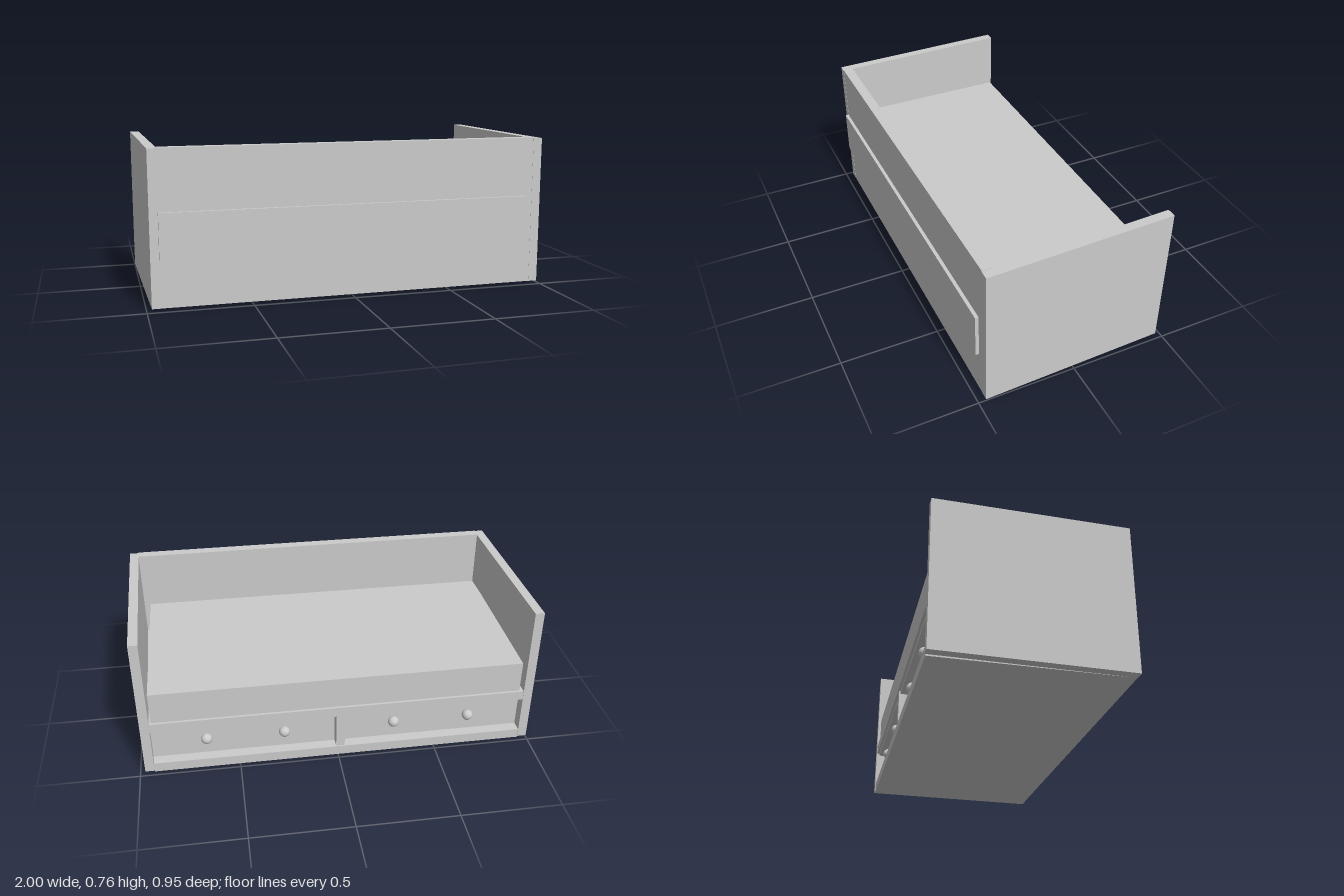
import * as THREE from 'three';

const material = new THREE.MeshStandardMaterial({ color: 0xcccccc });
const SKEW = 0.026; // the frame leans slightly sideways along its depth

export function createModel() {
  const group = new THREE.Group();

  // Box given by its limits on each axis, sheared in x along z
  function block(name, [x0, x1], [y0, y1], [z0, z1], skew = SKEW) {
    const geometry = new THREE.BoxGeometry(x1 - x0, y1 - y0, z1 - z0);
    geometry.translate((x0 + x1) / 2, (y0 + y1) / 2, (z0 + z1) / 2);
    const p = geometry.attributes.position;
    for (let i = 0; i < p.count; i++) p.setX(i, p.getX(i) + skew * p.getZ(i));
    geometry.computeVertexNormals();
    const mesh = new THREE.Mesh(geometry, material);
    mesh.name = name;
    group.add(mesh);
    return mesh;
  }

  // End panels and backrest
  block('rightEndPanel', [-0.988, -0.942], [0.008, 0.755], [-0.477, 0.462]);
  block('leftEndPanel', [0.942, 0.988], [0.008, 0.753], [-0.477, 0.462]);
  block('backrest', [-0.942, 0.942], [0.008, 0.757], [0.41, 0.461]);

  // Base board, tilted a touch, and the platform above the drawers
  const base = block('baseBoard', [-0.942, 0.942], [0.004, 0.055], [-0.474, 0.41]);
  base.rotation.x = -0.008;
  block('platform', [-0.942, 0.942], [0.245, 0.295], [-0.475, 0.41]);

  // Mattress, reaching through the backrest
  block('mattress', [-0.935, 0.92], [0.23, 0.46], [-0.462, 0.478], 0);

  // Drawers with two round knobs each, and the divider between them
  block('divider', [-0.022, 0.022], [0.05, 0.25], [-0.468, 0.41]);
  const knobGeometry = new THREE.SphereGeometry(0.028, 24, 16);
  for (const side of [-1, 1]) {
    const xs = [side * 0.022, side * 0.942].sort((a, b) => a - b);
    block(side < 0 ? 'rightDrawer' : 'leftDrawer', xs, [0.05, 0.245], [-0.42, 0.4]);
    for (const x of [0.28, 0.67]) {
      const knob = new THREE.Mesh(knobGeometry, material);
      knob.name = 'drawerKnob';
      knob.position.set(side * x - 0.011, 0.15, -0.437);
      group.add(knob);
    }
  }

  return group;
}
